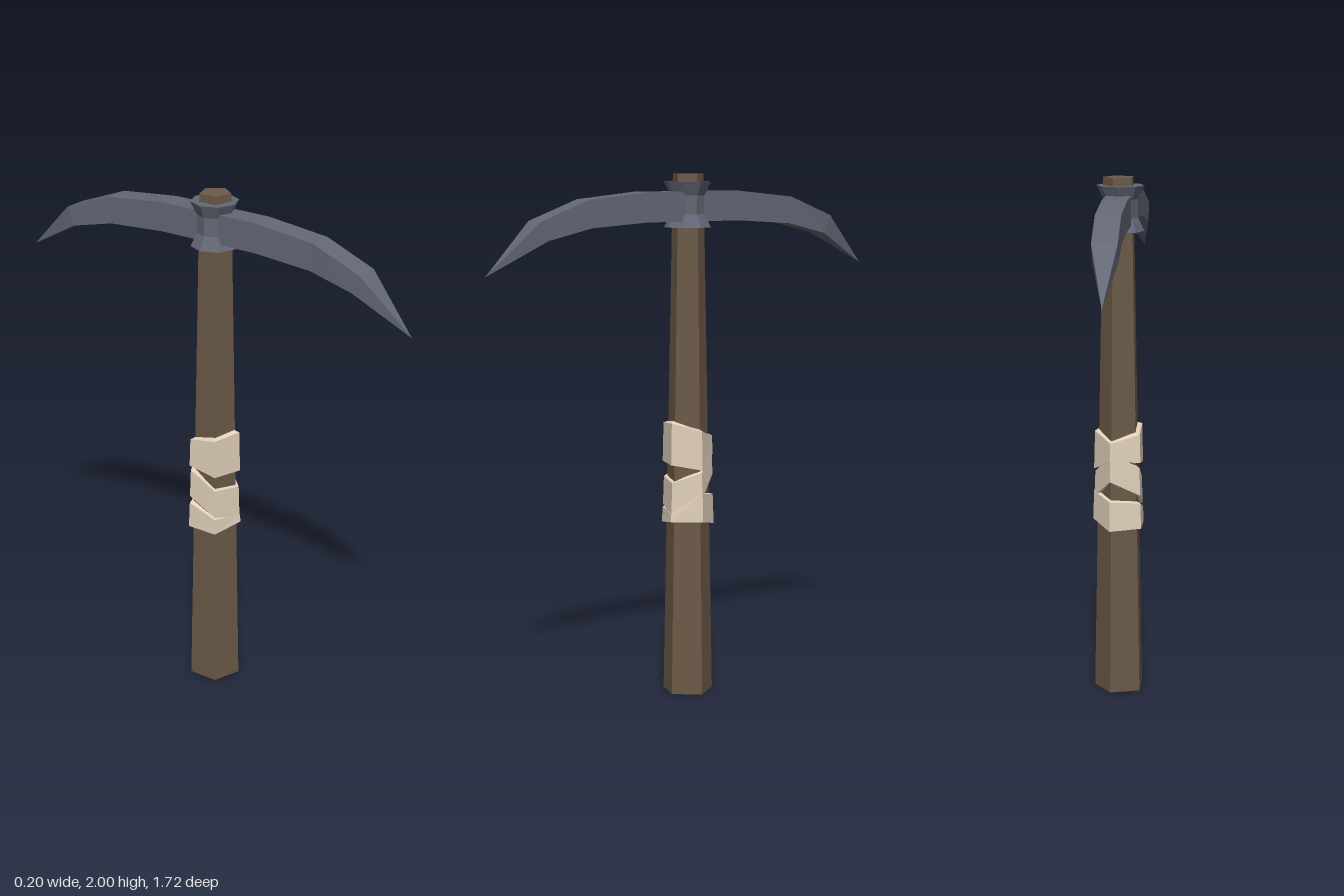
import * as THREE from 'three';

const TAU = Math.PI * 2;

// Skins a list of equal-length point rings with flat faces
function loft(rings, capped = true) {
  const pos = [];
  const n = rings[0].length;
  const tri = (...pts) => pts.forEach((p) => pos.push(...p));
  for (let i = 0; i < rings.length - 1; i++) {
    for (let j = 0; j < n; j++) {
      const k = (j + 1) % n;
      const a = rings[i][j], b = rings[i][k], c = rings[i + 1][k], d = rings[i + 1][j];
      tri(a, d, b);
      tri(b, d, c);
    }
  }
  if (capped) {
    const first = rings[0], last = rings[rings.length - 1];
    for (let j = 1; j < n - 1; j++) {
      tri(first[0], first[j], first[j + 1]);
      tri(last[0], last[j + 1], last[j]);
    }
  }
  const g = new THREE.BufferGeometry();
  g.setAttribute('position', new THREE.Float32BufferAttribute(pos, 3));
  g.computeVertexNormals();
  return g;
}

// Regular ring around the shaft; ys is one height or one height per corner
function ring(sides, r, ys, cx = -0.01) {
  return Array.from({ length: sides }, (_, i) => {
    const a = (i / sides) * TAU;
    return [cx + r * Math.cos(a), Array.isArray(ys) ? ys[i] : ys, r * Math.sin(a)];
  });
}

export function createModel() {
  const model = new THREE.Group();
  const material = (name, color) => {
    const m = new THREE.MeshStandardMaterial({ color });
    m.name = name;
    m.flatShading = true;
    return m;
  };
  const wood = material('wood', 0x6b5a47);
  const metal = material('metal', 0x646876);
  const cloth = material('cloth', 0xe0d0ba);

  const add = (name, geometry, mat) => {
    const mesh = new THREE.Mesh(geometry, mat);
    mesh.name = name;
    model.add(mesh);
  };

  // Tapered five-sided handle
  add('handle', loft([ring(5, 0.1, 0), ring(5, 0.061, 2, -0.006)]), wood);

  // Waisted collar holding the head
  const collar = [[0.09, 1.8], [0.066, 1.85], [0.066, 1.92], [0.09, 1.97]];
  add('collar', loft(collar.map(([r, y]) => ring(8, r, y))), metal);

  // Curved double-ended blade: [top z, top y, bottom z, bottom y, min x, max x]
  const half = [
    [0.86, 1.64, 0.86, 1.64, -0.03, -0.03],
    [0.66, 1.835, 0.63, 1.765, -0.064, 0.028],
    [0.46, 1.91, 0.45, 1.807, -0.057, 0.036],
    [0.21, 1.935, 0.21, 1.823, -0.055, 0.039],
  ];
  const section = ([zt, yt, zb, yb, x0, x1], s) => [
    [x0, yt, s * zt], [x1, yt, s * zt], [x1, yb, s * zb], [x0, yb, s * zb],
  ];
  const blade = [
    ...half.map((h) => section(h, -1)),
    ...half.slice().reverse().map((h) => section(h, 1)),
  ];
  add('blade', loft(blade, false), metal);

  // Slanted grip wrappings: radius, corner heights of top and bottom edges
  const wraps = [
    [0.102, [1.03, 1.06, 1.05, 1.03, 1.0], [0.88, 0.9, 0.9, 0.92, 0.93]],
    [0.101, [0.87, 0.83, 0.84, 0.9, 0.95], [0.77, 0.7, 0.73, 0.79, 0.85]],
    [0.106, [0.79, 0.71, 0.72, 0.76, 0.77], [0.68, 0.68, 0.66, 0.66, 0.655]],
  ];
  wraps.forEach(([r, top, bottom], i) => {
    const inset = (ys, d) => ys.map((y) => y + d);
    add(`gripWrap${i + 1}`, loft([
      ring(5, 0.075, inset(bottom, 0.008)),
      ring(5, r, bottom),
      ring(5, r - 0.004, top),
      ring(5, 0.075, inset(top, 0.008)),
    ], false), cloth);
  });

  return model;
}
